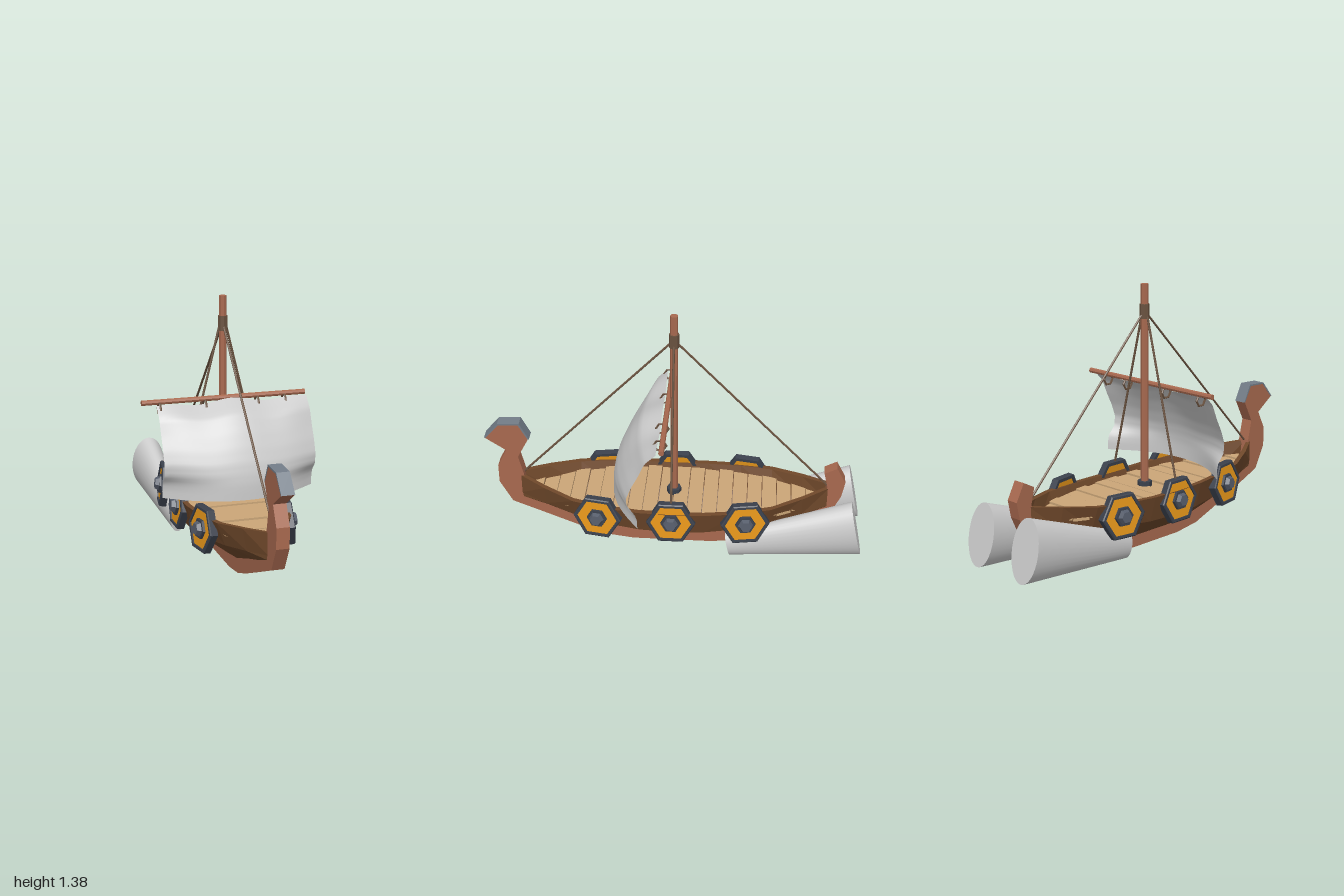
import * as THREE from 'three';

const mat = (color, flatShading = true, side = THREE.FrontSide) =>
  new THREE.MeshStandardMaterial({ color, flatShading, side });
const GREY = 0xcccccc;
const keelMat = mat(0xa8694f), hullMat = mat(0x70492b, true, THREE.DoubleSide);
const plankMat = mat(0xcba678), ropeMat = mat(0x6b5340);
const ironMat = mat(0x3b414d), capMat = mat(0x737d88), goldMat = mat(0xe6961a);

function add(parent, name, geometry, material) {
  const m = new THREE.Mesh(geometry, material);
  m.name = name;
  parent.add(m);
  return m;
}

// Flat (z, y) profile extruded across x
function sideProfile(points, width) {
  const shape = new THREE.Shape(points.map(p => new THREE.Vector2(...p)));
  const g = new THREE.ExtrudeGeometry(shape, { depth: width, bevelEnabled: false });
  return g.translate(0, 0, -width / 2).rotateY(-Math.PI / 2);
}

// Skin over equal-length cross-section loops of [x, y, z], ends closed
function loft(loops) {
  const n = loops[0].length, index = [];
  loops.slice(1).forEach((_, k) => {
    for (let i = 0; i < n; i++) {
      const a = k * n + i, b = k * n + (i + 1) % n;
      index.push(a, b, b + n, a, b + n, a + n);
    }
  });
  const last = (loops.length - 1) * n;
  for (let i = 1; i < n - 1; i++) index.push(0, i + 1, i, last, last + i, last + i + 1);
  const g = new THREE.BufferGeometry();
  g.setAttribute('position', new THREE.Float32BufferAttribute(loops.flat(2), 3));
  g.setIndex(index);
  const flat = g.toNonIndexed();
  flat.computeVertexNormals();
  return flat;
}

// Round bar between two points
function bar(parent, name, a, b, r, material, sides = 6) {
  const A = new THREE.Vector3(...a), B = new THREE.Vector3(...b);
  const d = B.clone().sub(A);
  const m = add(parent, name, new THREE.CylinderGeometry(r, r, d.length(), sides), material);
  m.position.copy(A).add(B).multiplyScalar(0.5);
  m.quaternion.setFromUnitVectors(new THREE.Vector3(0, 1, 0), d.normalize());
}

// Half-hull stations: z, rim half-width, rim y, chine half-width, chine y, bottom y
const stations = [
  [0, 0.25, 0.335, 0.215, 0.195, 0.06], [0.17, 0.247, 0.337, 0.21, 0.2, 0.06],
  [0.35, 0.23, 0.345, 0.19, 0.215, 0.09], [0.52, 0.193, 0.355, 0.15, 0.235, 0.15],
  [0.68, 0.115, 0.373, 0.09, 0.255, 0.2], [0.82, 0.03, 0.39, 0.03, 0.275, 0.25],
];

// Linear lookup in a table of rows sorted by first column
function lookup(rows, t, col) {
  let i = 1;
  while (i < rows.length - 1 && t > rows[i][0]) i++;
  const k = (t - rows[i - 1][0]) / (rows[i][0] - rows[i - 1][0]);
  return THREE.MathUtils.lerp(rows[i - 1][col], rows[i][col], k);
}

function buildHull(ship) {
  const all = [...stations.slice(1).reverse().map(s => [-s[0], ...s.slice(1)]), ...stations];
  const inset = w => Math.max(w - 0.028, 0.005);
  for (const s of [1, -1]) {
    add(ship, 'upperStrake', loft(all.map(([z, w, y, cw, cy]) =>
      [[s * w, y, z], [s * cw, cy, z], [s * inset(cw), cy, z], [s * inset(w), y, z]])), hullMat);
    add(ship, 'lowerStrake', loft(all.map(([z, , , cw, cy, by]) =>
      [[s * cw, cy, z], [s * 0.028, by, z], [s * 0.005, by + 0.02, z], [s * inset(cw), cy, z]])), hullMat);
  }
  // Keel sweeping up into the stem and sternpost
  add(ship, 'keel', sideProfile([
    [0.22, 0], [0.37, 0.02], [0.52, 0.075], [0.7, 0.15], [0.87, 0.22], [0.935, 0.345], [0.935, 0.45],
    [0.885, 0.55], [0.995, 0.625], [0.92, 0.71], [0.81, 0.715], [0.765, 0.625], [0.825, 0.51],
    [0.8, 0.4], [0.79, 0.27], [0.52, 0.175], [0.35, 0.107], [0.17, 0.07], [-0.17, 0.07],
    [-0.35, 0.107], [-0.52, 0.175], [-0.78, 0.27], [-0.81, 0.4], [-0.79, 0.485], [-0.855, 0.52],
    [-0.902, 0.43], [-0.885, 0.34], [-0.83, 0.22], [-0.7, 0.15], [-0.52, 0.075], [-0.37, 0.02], [-0.2, 0],
  ], 0.066), keelMat);
  add(ship, 'stemCap', sideProfile([
    [0.998, 0.625], [0.923, 0.714], [0.808, 0.72], [0.76, 0.625],
    [0.768, 0.625], [0.814, 0.711], [0.918, 0.706], [0.99, 0.623],
  ], 0.067), capMat);
}

function buildDeck(ship) {
  // Cross planks trimmed to the hull, at slightly uneven heights
  const count = 20, step = 1.56 / count;
  for (let i = 0; i < count; i++) {
    const y = 0.295 + 0.005 * Math.sin(i * 2.4), z0 = -0.78 + i * step + 0.002;
    const ring = z => {
      const w = lookup(stations, Math.abs(z), 1) - 0.018;
      return [[-w, y, z], [w, y, z], [w, y + 0.015, z], [-w, y + 0.015, z]];
    };
    add(ship, 'deckPlank', loft([ring(z0), ring(z0 + step - 0.004)]), plankMat);
  }
}

function buildShield() {
  const g = new THREE.Group();
  g.name = 'shield';
  const disc = (name, r0, r1, depth, x, m) => {
    add(g, name, new THREE.CylinderGeometry(r1, r0, depth, 6).rotateZ(-Math.PI / 2), m).position.x = x;
  };
  const rim = [[0.108, -0.02], [0.128, -0.02], [0.128, 0.016], [0.122, 0.021], [0.108, 0.021], [0.108, -0.02]];
  add(g, 'shieldRim', new THREE.LatheGeometry(rim.map(p => new THREE.Vector2(...p)), 6)
    .rotateZ(-Math.PI / 2), ironMat);
  disc('shieldFace', 0.112, 0.112, 0.026, 0, goldMat);
  disc('bossFlange', 0.055, 0.052, 0.016, 0.018, ironMat);
  disc('boss', 0.042, 0.03, 0.026, 0.034, mat(0x565d6b));
  return g;
}

function buildRig(ship) {
  bar(ship, 'mast', [0, 0.28, 0], [0, 1.378, 0], 0.02, keelMat, 8);
  bar(ship, 'mastFoot', [0, 0.305, 0], [0, 0.335, 0], 0.038, ironMat, 8);
  bar(ship, 'mastLashing', [0, 1.2, 0], [0, 1.275, 0], 0.026, ropeMat, 8);
  bar(ship, 'yard', [-0.44, 0.855, 0.032], [0.437, 0.855, 0.032], 0.014, keelMat, 8);
  for (const s of [1, -1]) {
    bar(ship, 'stay', [0, 1.24, 0], [0, 0.39, s * 0.81], 0.006, ropeMat);
    bar(ship, 'shroud', [s * 0.015, 1.235, 0], [s * 0.238, 0.33, 0], 0.006, ropeMat);
  }
  // Rope rings hanging the sail from the yard
  for (const x of [-0.35, -0.11, 0.17, 0.318]) {
    const ring = add(ship, 'sailRing', new THREE.TorusGeometry(0.032, 0.006, 5, 6), ropeMat);
    ring.rotation.y = Math.PI / 2;
    ring.position.set(x, 0.822, 0.047);
  }

  // Sail: v down the cloth, then z at the middle and z at the side edges
  const belly = [[0, 0.055, 0.06], [0.12, 0.165, 0.115], [0.3, 0.222, 0.15], [0.45, 0.26, 0.185],
    [0.6, 0.29, 0.21], [0.72, 0.305, 0.205], [0.82, 0.312, 0.165], [0.9, 0.314, 0.155], [1, 0.315, 0.155]];
  const g = new THREE.PlaneGeometry(0.805, 1, 32, 28);
  const p = g.attributes.position;
  for (let i = 0; i < p.count; i++) {
    const u = THREE.MathUtils.clamp(p.getX(i) / 0.4025, -1, 1), v = 0.5 - p.getY(i);
    const top = 0.842 - 0.014 * Math.cos(u * 6.5 + 3.2) * (1 - u * u);
    const mid = Math.pow(1 - Math.pow(Math.abs(u), 2.2), 1.1);
    const z = THREE.MathUtils.lerp(lookup(belly, v, 2), lookup(belly, v, 1), mid);
    p.setXYZ(i, u * 0.4025 + 0.034, THREE.MathUtils.lerp(top, 0.385, v), z);
  }
  g.computeVertexNormals();
  add(ship, 'sail', g, mat(GREY, false, THREE.DoubleSide));
}

export function createModel() {
  const ship = new THREE.Group();
  ship.name = 'longship';
  buildHull(ship);
  buildDeck(ship);
  buildRig(ship);

  for (const s of [1, -1]) {
    // Three shields along each side
    const row = new THREE.Group();
    row.name = s > 0 ? 'leftShields' : 'rightShields';
    row.rotation.y = s > 0 ? 0 : Math.PI;
    for (const k of [-1, 0, 1]) {
      const shield = buildShield();
      shield.position.set(k ? 0.222 : 0.24, 0.285, k * 0.385);
      shield.rotation.set(0, -k * 0.17, 0.1);
      row.add(shield);
    }
    ship.add(row);

    // Flattened flaring booster beside the stern
    const cone = new THREE.CylinderGeometry(0.161, 0.068, 0.687, 32);
    cone.scale(0.575, 1, 1).rotateX(-1.361);
    add(ship, 'booster', cone, mat(GREY, false)).position.set(s * 0.163, 0.166, -0.631);
  }
  return ship;
}
